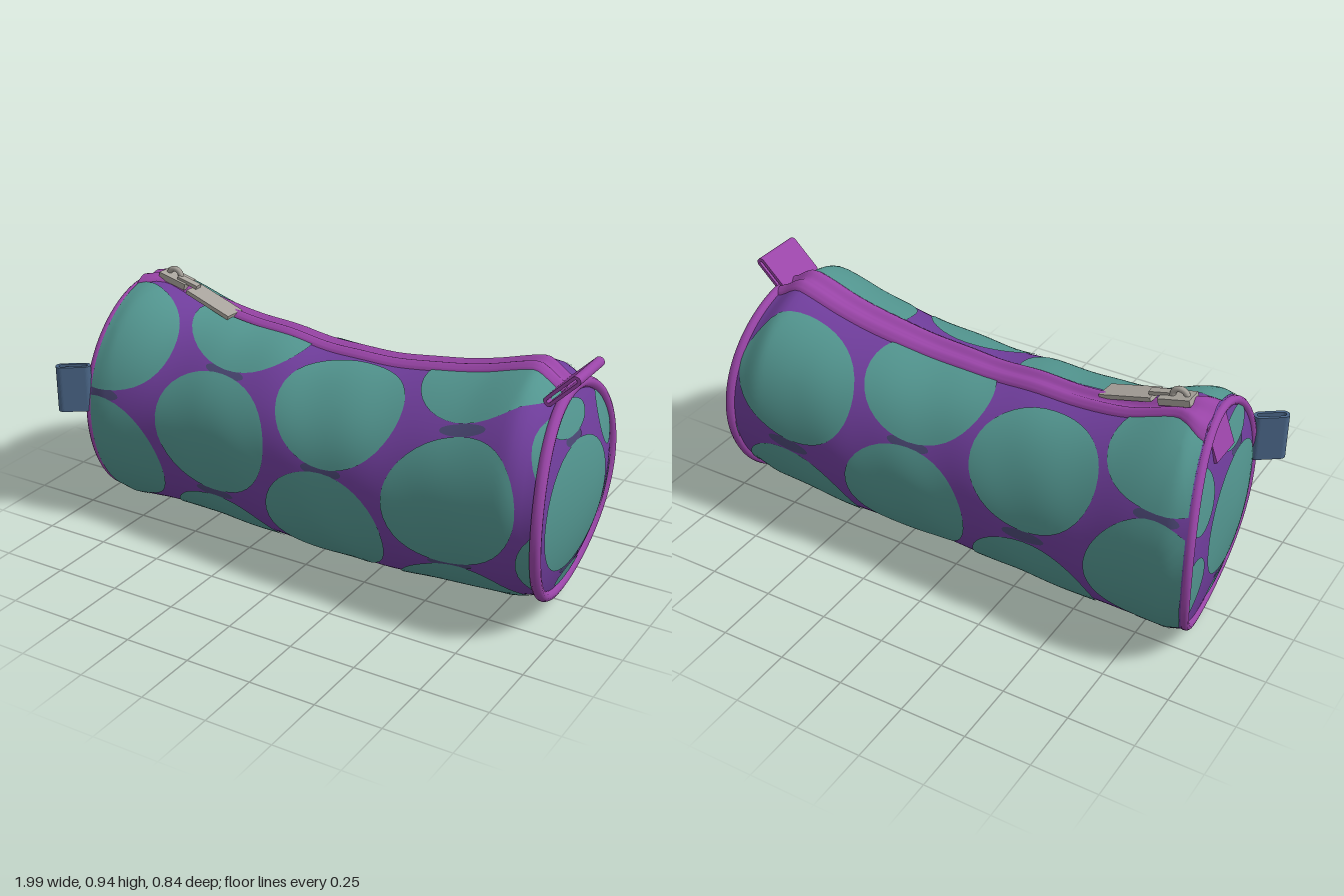
import * as THREE from 'three';
import { mergeVertices } from 'three/addons/utils/BufferGeometryUtils.js';
import { ParametricGeometry } from 'three/addons/geometries/ParametricGeometry.js';

const mat = (name, color) => Object.assign(new THREE.MeshStandardMaterial({ color }), { name });
const { clamp, lerp, smoothstep } = THREE.MathUtils;
const TAU = Math.PI * 2;

// Body outline, sampled every 0.2 from x = -1 to x = 1
const TOP = [0.88, 0.875, 0.81, 0.785, 0.775, 0.76, 0.765, 0.785, 0.825, 0.88, 0.89];
const BOTTOM = [0, 0, 0.005, 0.007, 0.01, 0.012, 0.016, 0.02, 0.03, 0.035, 0.03];
const FRONT = [0.39, 0.36, 0.325, 0.335, 0.355, 0.37, 0.385, 0.39, 0.39, 0.395, 0.4];
const BACK = [0.415, 0.4, 0.39, 0.385, 0.378, 0.373, 0.378, 0.39, 0.395, 0.4, 0.405];
const ZIP = 1.66; // angle of the zip, measured from the front upwards

function sample(list, x) {
  const f = clamp((x + 1) * 5, 0, 10), i = Math.min(9, Math.floor(f)), t = f - i;
  const at = k => list[clamp(k, 0, 10)];
  const [a, b, c, d] = [at(i - 1), at(i), at(i + 1), at(i + 2)];
  return b + 0.5 * t * (c - a + t * (2 * a - 5 * b + 4 * c - d + t * (3 * (b - c) + d - a)));
}

// Slanted, slightly curved ends
const leftX = a => -0.935 + 0.045 * Math.cos(a) + 0.04 * Math.sin(a) ** 2;
const rightX = a => 0.935 + 0.025 * Math.cos(a) - 0.035 * Math.sin(a) ** 2;

// Point on the soft tube: u runs along the length, a around it
function bodyPoint(u, a, off, target) {
  const x = lerp(leftX(a), rightX(a), u);
  const t = sample(TOP, x), b = sample(BOTTOM, x), f = sample(FRONT, x), k = sample(BACK, x);
  const end = smoothstep(u, 0.93, 1);
  const drop = 0.022 * end;
  const taper = 1 - 0.06 * end - 0.035 * (1 - smoothstep(u, 0, 0.04));
  const wrinkle = 0.004 * Math.sin(a * 5 + x * 9) * Math.sin(x * 11 + Math.cos(a) * 2) * Math.sin(u * Math.PI);
  const flatten = 1 + 0.1 * Math.min(0, Math.sin(a)) ** 2 * (1 - smoothstep(u, 0.7, 1));
  return target.set(
    x,
    (t + b) / 2 - drop + ((t - b) / 2 * taper - drop + wrinkle + off) * Math.sin(a),
    (f - k) / 2 + ((f + k) / 2 * taper + wrinkle + off) * Math.cos(a) * flatten
  );
}

// Centre and half sizes of each end panel
function endFrame(side) {
  const at = a => bodyPoint(side > 0 ? 1 : 0, a, 0, new THREE.Vector3());
  const t = at(Math.PI / 2).y, b = at(-Math.PI / 2).y, f = at(0).z, k = at(Math.PI).z;
  return { cy: (t + b) / 2, h: (t - b) / 2, cz: (f + k) / 2, w: (f - k) / 2 };
}
const FRAMES = { '1': endFrame(1), '-1': endFrame(-1) };

// Point on an end panel: r from centre to rim
function capPoint(side, r, a, off, target) {
  const s = FRAMES[side], cx = side > 0 ? 0.988 : -0.965;
  bodyPoint(side > 0 ? 1 : 0, a, 0, target);
  return target.set(
    lerp(cx, target.x, r * r) + side * off,
    lerp(s.cy, target.y, r),
    lerp(s.cz, target.z, r)
  );
}

// Smooth welded surface from a rule
function surface(rule, nu, nv) {
  const g = new ParametricGeometry(rule, nu, nv);
  g.deleteAttribute('normal');
  g.deleteAttribute('uv');
  const welded = mergeVertices(g, 1e-4);
  welded.computeVertexNormals();
  return welded;
}

// Disc lying on the tube, trimmed at the zip and the ends
const bodyDisc = (cx, ca, rx, ra, off) => surface((r, v, p) => {
  const a = clamp(ca + ra * r * Math.sin(v * TAU), ZIP + 0.14 - TAU, ZIP - 0.14);
  const x = cx + rx * r * Math.cos(v * TAU);
  const u = clamp((x - leftX(a)) / (rightX(a) - leftX(a)), 0.004, 0.996);
  bodyPoint(u, a, off, p);
}, 14, 40);

// Disc lying on an end panel, trimmed at the piping
const endDisc = (side, [cz, cy, rz, ry], off) => surface((r, v, p) => {
  const t = -side * v * TAU, s = FRAMES[side];
  const z = (cz + rz * r * Math.cos(t) - s.cz) / s.w;
  const y = (cy + ry * r * Math.sin(t) - s.cy) / s.h;
  capPoint(side, Math.min(Math.hypot(z, y), 0.97), Math.atan2(y, z), off, p);
}, 12, 36);

// Ribbon loop with rounded ends, extruded across its width
function loop(length, thick, wall, width) {
  const pill = (S, l, t) => {
    const r = t / 2, s = new S();
    s.moveTo(-l / 2 + r, -r);
    s.lineTo(l / 2 - r, -r);
    s.absarc(l / 2 - r, 0, r, -Math.PI / 2, Math.PI / 2, false);
    s.lineTo(-l / 2 + r, r);
    s.absarc(-l / 2 + r, 0, r, Math.PI / 2, Math.PI * 1.5, false);
    return s;
  };
  const shape = pill(THREE.Shape, length, thick);
  shape.holes.push(pill(THREE.Path, length - wall * 2, thick - wall * 2));
  return new THREE.ExtrudeGeometry(shape, { depth: width, bevelEnabled: false, curveSegments: 8 })
    .translate(0, 0, -width / 2);
}

export function createModel() {
  const purple = mat('purple fabric', 0x6f3d9b);
  const teal = mat('teal dots', 0x52958f);
  const slate = mat('slate joints', 0x4a4673);
  const trim = mat('magenta trim', 0x9a45a8);
  const blue = mat('blue tag', 0x4a6688);
  const metal = mat('grey metal', 0xa9a49d);
  const model = new THREE.Group();
  model.name = 'pencilCase';
  const add = (name, geometry, material, parent = model) => {
    const mesh = new THREE.Mesh(geometry, material);
    mesh.name = name;
    parent.add(mesh);
    return mesh;
  };

  // Fabric tube
  add('body', surface((u, v, p) => bodyPoint(u, v * TAU, 0, p), 72, 96), purple);

  // Large dots in staggered columns, with small dark joints where they nearly touch
  const dots = new THREE.Group();
  dots.name = 'bodyDots';
  model.add(dots);
  const columns = [
    [-0.85, [0.86, -0.4, -1.68, -2.95, -4.2]],
    [-0.36, [1.45, 0.2, -1.08, -2.4, -3.72]],
    [0.14, [0.84, -0.4, -1.68, -2.95, -4.2]],
    [0.64, [1.42, 0.1, -1.12, -2.4, -3.72]],
    [1.14, [0.84, -0.4, -1.68, -2.95, -4.2]]
  ];
  for (const [x, angles] of columns) {
    angles.forEach((a, i) => {
      add('bodyDot', bodyDisc(x, a, 0.25, 0.6, 0.004), teal, dots);
      if (i > 0 && x < 1) add('dotJoint', bodyDisc(x, (a + angles[i - 1]) / 2, 0.085, 0.06, 0.002), slate, dots);
    });
  }

  // End panels with dots: z, y, half width, half height
  const endDots = [
    [0.065, 0.43, 0.255, 0.238], [0.08, 0.745, 0.13, 0.055], [-0.25, 0.65, 0.1, 0.12],
    [-0.31, 0.32, 0.11, 0.13], [0.02, 0.135, 0.1, 0.04]
  ];
  const endJoints = [[0.08, 0.68, 0.06, 0.025], [0.04, 0.185, 0.08, 0.025]];
  for (const side of [-1, 1]) {
    const name = side > 0 ? 'left' : 'right';
    add(name + 'EndPanel', side > 0
      ? surface((u, v, p) => capPoint(1, v, u * TAU, 0, p), 80, 20)
      : surface((u, v, p) => capPoint(-1, u, v * TAU, 0, p), 20, 80), purple);
    endDots.forEach(d => add(name + 'EndDot', endDisc(side, d, 0.004), teal));
    endJoints.forEach(d => add(name + 'EndJoint', endDisc(side, d, 0.002), slate));

    // Piping, set in a little on the softer end
    const rim = Array.from({ length: 40 }, (_, i) => {
      const p = bodyPoint(side > 0 ? 1 : 0, i / 40 * TAU, side > 0 ? -0.002 : -0.014, new THREE.Vector3());
      p.x += side * 0.004;
      return p;
    });
    const thickness = side > 0 ? 0.02 : 0.017;
    add(name + 'Piping', new THREE.TubeGeometry(new THREE.CatmullRomCurve3(rim, true), 96, thickness, 10, true), trim);
  }

  // Zip tape with two raised lips, flaring at its slider end
  add('zipTape', surface((u, v, p) => {
    const width = 0.29 + 0.09 * u + 0.3 * (1 - smoothstep(u, 0, 0.07));
    const off = 0.006 + 0.015 * Math.sin(v * TAU) ** 2 - (v === 0 || v === 1 ? 0.01 : 0);
    bodyPoint(lerp(0.002, 0.998, u), ZIP - (u - 0.5) * 0.11 + (v - 0.5) * width, off, p);
  }, 72, 20), trim);

  // Pull tab at one end, folded end of the tape at the other
  const tab = add('pullTab', loop(0.165, 0.036, 0.012, 0.2), trim);
  tab.position.set(0.928, 0.865, 0.045);
  tab.rotation.z = 0.78;
  const fold = add('tapeFold', new THREE.BoxGeometry(0.03, 0.13, 0.14), trim);
  fold.position.set(-0.915, 0.79, -0.06);
  fold.rotation.z = -0.35;

  // Side tag
  const tag = add('sideTag', loop(0.13, 0.045, 0.012, 0.18).rotateX(-Math.PI / 2), blue);
  tag.position.set(-0.943, 0.545, 0.375);
  tag.rotation.y = 0.62;

  // Zip slider and its hanging plate
  const slider = new THREE.Group();
  slider.name = 'zipSlider';
  slider.position.set(-0.76, 0.882, -0.05);
  slider.rotation.z = -0.25;
  model.add(slider);
  add('sliderBase', new THREE.BoxGeometry(0.12, 0.025, 0.07), metal, slider);
  const arch = add('sliderArch', new THREE.TorusGeometry(0.028, 0.011, 8, 16, Math.PI), metal, slider);
  arch.position.set(-0.01, 0.008, 0);
  const link = add('sliderLink', new THREE.BoxGeometry(0.09, 0.014, 0.03), metal, slider);
  link.position.set(0.06, 0.015, 0.008);
  const plate = add('pullPlate', new THREE.BoxGeometry(0.21, 0.016, 0.085), metal);
  plate.position.set(-0.575, 0.83, -0.028);
  plate.rotation.set(0, -0.08, -0.3);

  return model;
}
